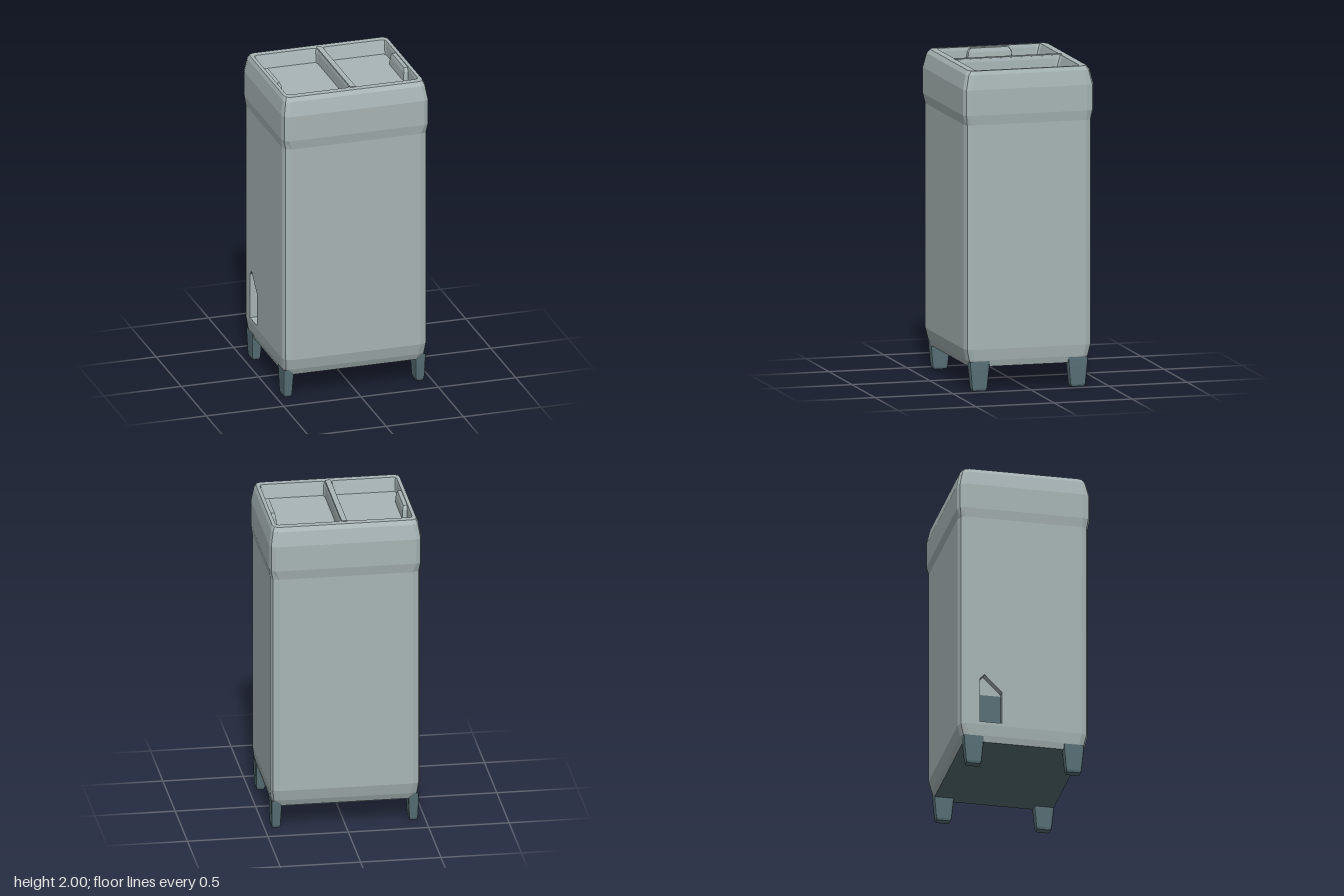
import * as THREE from 'three';

const shell = new THREE.MeshStandardMaterial({ color: 0xa8b5b6 });
shell.name = 'pale grey shell';
const dark = new THREE.MeshStandardMaterial({ color: 0x587076 });
dark.name = 'dark teal feet';
shell.flatShading = dark.flatShading = true;

// Rectangular ring with softened corners, running from +x towards +z
function ring(y, hx, hz, cx, cz, x0 = 0, z0 = 0) {
  const corner = [[hx, hz - cz], [hx - 0.25 * cx, hz - 0.3 * cz], [hx - cx, hz]];
  const back = [...corner].reverse();
  const points = [];
  for (const [sx, sz, list] of [[1, 1, corner], [-1, 1, back], [-1, -1, corner], [1, -1, back]]) {
    for (const [x, z] of list) points.push(new THREE.Vector3(x0 + sx * x, y, z0 + sz * z));
  }
  return points;
}

function fromTriangles(points) {
  const geometry = new THREE.BufferGeometry().setFromPoints(points);
  geometry.computeVertexNormals();
  return geometry;
}

// Joins rings in order; skip(level, side) leaves a panel open
function loft(rings, skip = () => false) {
  const out = [];
  for (let k = 0; k + 1 < rings.length; k++) {
    const a = rings[k], b = rings[k + 1];
    a.forEach((p, i) => {
      const j = (i + 1) % a.length;
      if (!skip(k, i)) out.push(p, b[i], b[j], p, b[j], a[j]);
    });
  }
  return fromTriangles(out);
}

function cap(points, up) {
  const out = [];
  for (let i = 1; i + 1 < points.length; i++) {
    out.push(points[0], points[up ? i + 1 : i], points[up ? i : i + 1]);
  }
  return fromTriangles(out);
}

function add(parent, name, geometry, material) {
  const mesh = new THREE.Mesh(geometry, material);
  mesh.name = name;
  parent.add(mesh);
  return mesh;
}

const outline = (points) => points.map((p) => new THREE.Vector2(p.x, p.z));

export function createModel() {
  const model = new THREE.Group();
  model.name = 'cabinet';

  // Cabinet shell: tapered foot, straight walls and a wider collar
  const hx = 0.465, hz = 0.408, cx = 0.05, cz = 0.045;
  const bodyRings = [
    ring(0.15, 0.447, 0.375, cx, cz),
    ring(0.19, 0.457, 0.392, cx, cz),
    ring(0.26, hx, hz, cx, cz),
    ring(1.66, hx, hz, cx, cz),
    ring(1.72, 0.473, 0.418, 0.035, 0.05),
    ring(1.88, 0.473, 0.418, 0.035, 0.05),
    ring(1.97, 0.458, 0.397, 0.035, 0.045),
    ring(1.995, 0.447, 0.378, 0.035, 0.04),
  ];
  add(model, 'cabinetShell', loft(bodyRings, (k, i) => k === 2 && i === 5), shell);
  add(model, 'underside', cap(bodyRings[0], false), dark);

  // Side wall with the small hatch opening
  const half = hz - cz;
  const wall = new THREE.Shape([[-half, 0.26], [half, 0.26], [half, 1.66], [-half, 1.66]]
    .map(([z, y]) => new THREE.Vector2(z, y)));
  const hatch = [[-0.28, 0.28], [-0.14, 0.28], [-0.14, 0.49], [-0.25, 0.6], [-0.28, 0.57]];
  wall.holes.push(new THREE.Path(hatch.map(([z, y]) => new THREE.Vector2(z, y))));
  const wallGeometry = new THREE.ShapeGeometry(wall).rotateY(-Math.PI / 2).translate(-hx, 0, 0);
  add(model, 'hatchWall', wallGeometry, shell);

  // Hatch recess: lining, dark lower panel and pale upper panel
  const depth = 0.05;
  const rim = [-hx + depth, -hx].map((x) => hatch.map(([z, y]) => new THREE.Vector3(x, y, z)));
  const lining = add(model, 'hatchLining', loft(rim), shell.clone());
  lining.material = shell;
  for (const [name, y0, y1, mat] of [['hatchLowerPanel', 0.27, 0.48, dark], ['hatchUpperPanel', 0.48, 0.61, shell]]) {
    const panel = add(model, name, new THREE.BoxGeometry(0.008, y1 - y0, 0.16), mat);
    panel.position.set(-hx + depth, (y0 + y1) / 2, -0.21);
  }

  // Top rim with two wells, leaving the divider between them
  const top = new THREE.Shape(outline(bodyRings.at(-1)));
  for (const s of [-1, 1]) {
    const wellRings = [
      ring(1.995, 0.203, 0.334, 0.02, 0.025, s * 0.222),
      ring(1.975, 0.199, 0.328, 0.02, 0.025, s * 0.222),
      ring(1.91, 0.197, 0.31, 0.02, 0.025, s * 0.222),
    ];
    top.holes.push(new THREE.Path(outline(wellRings[0])));
    const side = s > 0 ? 'left' : 'right';
    add(model, side + 'WellWalls', loft(wellRings), shell);
    add(model, side + 'WellFloor', cap(wellRings.at(-1), true), shell);

    // Grip tab against the outer wall of the well
    const gripRings = [
      ring(1.905, 0.02, 0.145, 0.004, 0.006, s * 0.409),
      ring(1.965, 0.018, 0.138, 0.004, 0.006, s * 0.411),
      ring(1.99, 0.014, 0.122, 0.004, 0.006, s * 0.414),
    ];
    const grip = new THREE.Group();
    grip.name = side + 'Grip';
    add(grip, 'gripSides', loft(gripRings), shell);
    add(grip, 'gripTop', cap(gripRings.at(-1), true), shell);
    model.add(grip);
  }
  add(model, 'topRim', new THREE.ShapeGeometry(top).rotateX(-Math.PI / 2).translate(0, 1.995, 0), shell);
  const divider = add(model, 'dividerCap', new THREE.BoxGeometry(0.034, 0.008, 0.68), shell);
  divider.position.y = 1.996;

  // Four tapered feet clasping the bottom corners
  for (const sx of [-1, 1]) {
    for (const sz of [-1, 1]) {
      const legRings = [
        ring(0, 0.024, 0.044, 0.01, 0.012, sx * 0.427, sz * 0.315),
        ring(0.015, 0.028, 0.05, 0.01, 0.012, sx * 0.427, sz * 0.315),
        ring(0.13, 0.033, 0.062, 0.012, 0.015, sx * 0.426, sz * 0.315),
        ring(0.185, 0.034, 0.066, 0.012, 0.015, sx * 0.425, sz * 0.315),
      ];
      const foot = new THREE.Group();
      foot.name = (sz > 0 ? 'front' : 'back') + (sx > 0 ? 'Left' : 'Right') + 'Foot';
      add(foot, 'footSides', loft(legRings), dark);
      add(foot, 'footSole', cap(legRings[0], false), dark);
      model.add(foot);
    }
  }
  return model;
}
